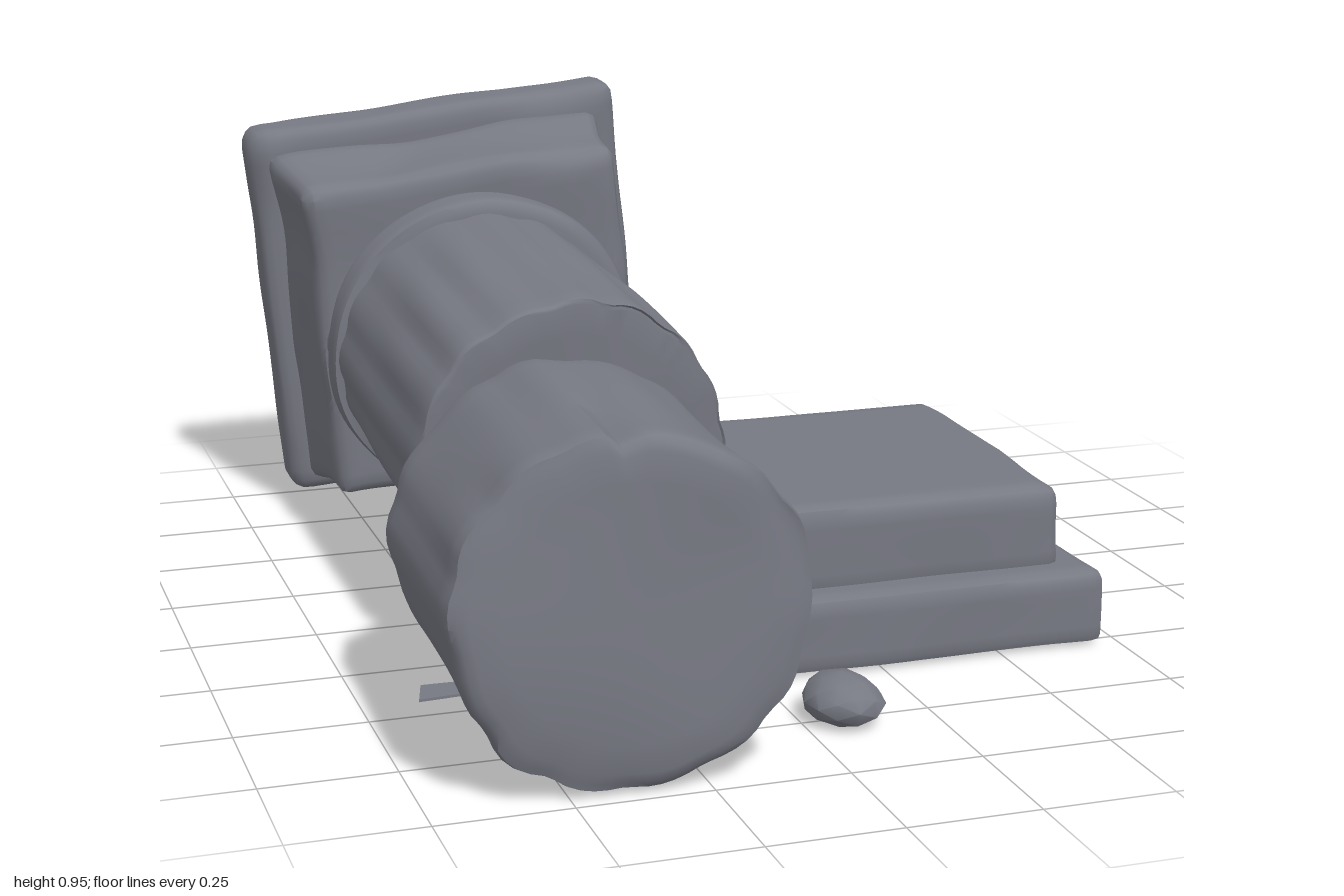
import * as THREE from 'three';
import { mergeVertices, toCreasedNormals } from 'three/addons/utils/BufferGeometryUtils.js';

const stone = new THREE.MeshStandardMaterial({ color: 0x777983 });
stone.name = 'weathered stone';

// Smooth pseudo-noise in -1..1
function noise(x, y, z, s) {
  return (Math.sin(x * 9 + s + 1.7 * Math.sin(y * 7 + s * 2)) +
    Math.sin(y * 11 + s * 3 + 1.5 * Math.sin(z * 8 + s)) +
    Math.sin(z * 10 + s * 5 + 1.6 * Math.sin(x * 8 - s))) / 3;
}

// Applies a rule to every vertex, then welds and smooths the surface
function carve(geometry, rule) {
  geometry.deleteAttribute('uv');
  geometry.deleteAttribute('normal');
  const geo = mergeVertices(geometry, 1e-4);
  const pos = geo.attributes.position;
  const p = new THREE.Vector3();
  for (let i = 0; i < pos.count; i++) {
    rule(p.fromBufferAttribute(pos, i));
    pos.setXYZ(i, p.x, p.y, p.z);
  }
  return toCreasedNormals(geo, 0.7);
}

// Block with worn edges of varying radius; taper shrinks its +z end
function wornBlock(w, h, d, { seed = 1, wear = 0.03, bump = 0.008, taper = 0 } = {}) {
  const seg = (v) => Math.max(8, Math.round(v / 0.025));
  const half = new THREE.Vector3(w / 2, h / 2, d / 2);
  const inner = new THREE.Vector3();
  return carve(new THREE.BoxGeometry(w, h, d, seg(w), seg(h), seg(d)), (p) => {
    const n = noise(p.x, p.y, p.z, seed);
    const r = wear * (0.8 + 0.7 * Math.max(0, n) + 0.9 * Math.max(0, n - 0.45));
    const lim = half.clone().subScalar(r);
    inner.copy(p).clamp(lim.clone().negate(), lim);
    p.sub(inner).setLength(r).add(inner);
    const k = 1 - taper * (p.z / d + 0.5);
    p.x *= k;
    p.y *= k;
    p.multiplyScalar(1 + bump * 2 * (noise(p.x * 1.6, p.y * 1.6, p.z * 1.6, seed + 4) - 0.4));
  });
}

// Fluted cylinder along z with rounded rims and an uneven surface
function flutedDrum(radius, z0, z1, { seed = 1, rim = 0.025, flutes = 16, depth = 0.012, bump = 0.01, crack = 0 } = {}) {
  const profile = [];
  const add = (r, z) => profile.push(new THREE.Vector2(r, z));
  for (let i = 0; i < 5; i++) add((radius - rim) * i / 5, z0);
  for (let i = 0; i <= 3; i++) {
    const a = i / 3 * Math.PI / 2;
    add(radius - rim + rim * Math.sin(a), z0 + rim - rim * Math.cos(a));
  }
  for (let i = 1; i < 14; i++) add(radius, THREE.MathUtils.lerp(z0 + rim, z1 - rim, i / 14));
  for (let i = 0; i <= 3; i++) {
    const a = i / 3 * Math.PI / 2;
    add(radius - rim + rim * Math.cos(a), z1 - rim + rim * Math.sin(a));
  }
  for (let i = 4; i >= 0; i--) add((radius - rim) * i / 5, z1);
  const geo = new THREE.LatheGeometry(profile, flutes * 6).rotateX(Math.PI / 2);
  return carve(geo, (p) => {
    const r = Math.hypot(p.x, p.y);
    const t = Math.atan2(p.y, p.x);
    const edge = Math.pow(r / radius, 4);
    const n = noise(p.x * 1.3, p.y * 1.3, p.z * 0.7, seed);
    let cut = depth * (1 - Math.abs(Math.cos(t * flutes / 2 + 0.3))) * (0.6 + 0.6 * n);
    cut += bump * (0.5 - n);
    // Deep split along the top
    cut += crack * Math.exp(-Math.pow((t - 1.62) / 0.05, 2)) * (p.z - z0) / (z1 - z0);
    const k = r > 1e-4 ? 1 - cut * edge / r : 1;
    p.x *= k;
    p.y *= k;
    // Uneven broken end faces
    if (r < radius - rim * 0.4) {
      const dent = bump * (0.6 + noise(p.x, p.y, 0.3, seed + 2));
      if (p.z > z1 - rim) p.z -= dent;
      else if (p.z < z0 + rim) p.z += dent;
    }
  });
}

function part(parent, name, geometry, x = 0, y = 0, z = 0) {
  const mesh = new THREE.Mesh(geometry, stone);
  mesh.name = name;
  mesh.position.set(x, y, z);
  parent.add(mesh);
  return mesh;
}

export function createModel() {
  const model = new THREE.Group();
  model.name = 'fallenColumn';

  // Broken front drum
  const drum = part(model, 'brokenDrum',
    flutedDrum(0.333, -0.28, 0.28, { seed: 2, rim: 0.04, flutes: 14, depth: 0.016, bump: 0.014, crack: 0.03 }),
    -0.38, 0.336, 0.715);
  drum.rotation.y = -0.03;

  // Toppled column top, lying along z and tilted
  const column = new THREE.Group();
  column.name = 'columnTop';
  column.position.set(-0.28, 0.445, -0.45);
  column.rotation.x = 0.05;
  model.add(column);
  part(column, 'shaft', flutedDrum(0.315, -0.2, 0.71, { seed: 5, rim: 0.012, depth: 0.016 }), -0.008, 0, 0);
  part(column, 'neckRing',
    flutedDrum(0.338, -0.105, 0.005, { seed: 3, rim: 0.03, depth: 0, bump: 0.008 }), 0.005, 0, 0);
  const block = part(column, 'capitalBlock',
    wornBlock(0.76, 0.76, 0.26, { seed: 7, wear: 0.035, bump: 0.018, taper: 0.08 }), 0.015, 0.033, -0.25);
  const plate = part(column, 'capitalPlate',
    wornBlock(0.84, 0.84, 0.14, { seed: 1, wear: 0.035, bump: 0.006 }), 0.022, 0.04, -0.45);
  block.rotation.z = plate.rotation.z = 0.1;

  // Stepped plinth
  part(model, 'plinthLowerSlab', wornBlock(0.81, 0.15, 0.83, { seed: 4, wear: 0.024, bump: 0.005 }), 0.31, 0.087, 0.125);
  part(model, 'plinthUpperSlab', wornBlock(0.68, 0.18, 0.69, { seed: 6, wear: 0.026, bump: 0.006 }), 0.315, 0.232, 0.125);

  // Loose rubble
  const pebble = carve(new THREE.IcosahedronGeometry(1, 1), (p) => {
    p.multiplyScalar(1 + 0.08 * noise(p.x, p.y, p.z, 2));
    p.set(p.x * 0.076, Math.max(p.y, -0.75) * 0.05, p.z * 0.092);
  });
  part(model, 'pebble', pebble, 0.077, 0.05, 0.755);

  const outline = [[-0.64, -0.43], [-0.34, -0.405], [-0.24, -0.365], [-0.62, -0.355]];
  const shard = new THREE.ExtrudeGeometry(
    new THREE.Shape(outline.map(([x, y]) => new THREE.Vector2(x, y))), { depth: 0.005, bevelEnabled: false });
  part(model, 'stoneShard', shard.rotateX(-Math.PI / 2), 0, 0.008, 0);

  return model;
}
